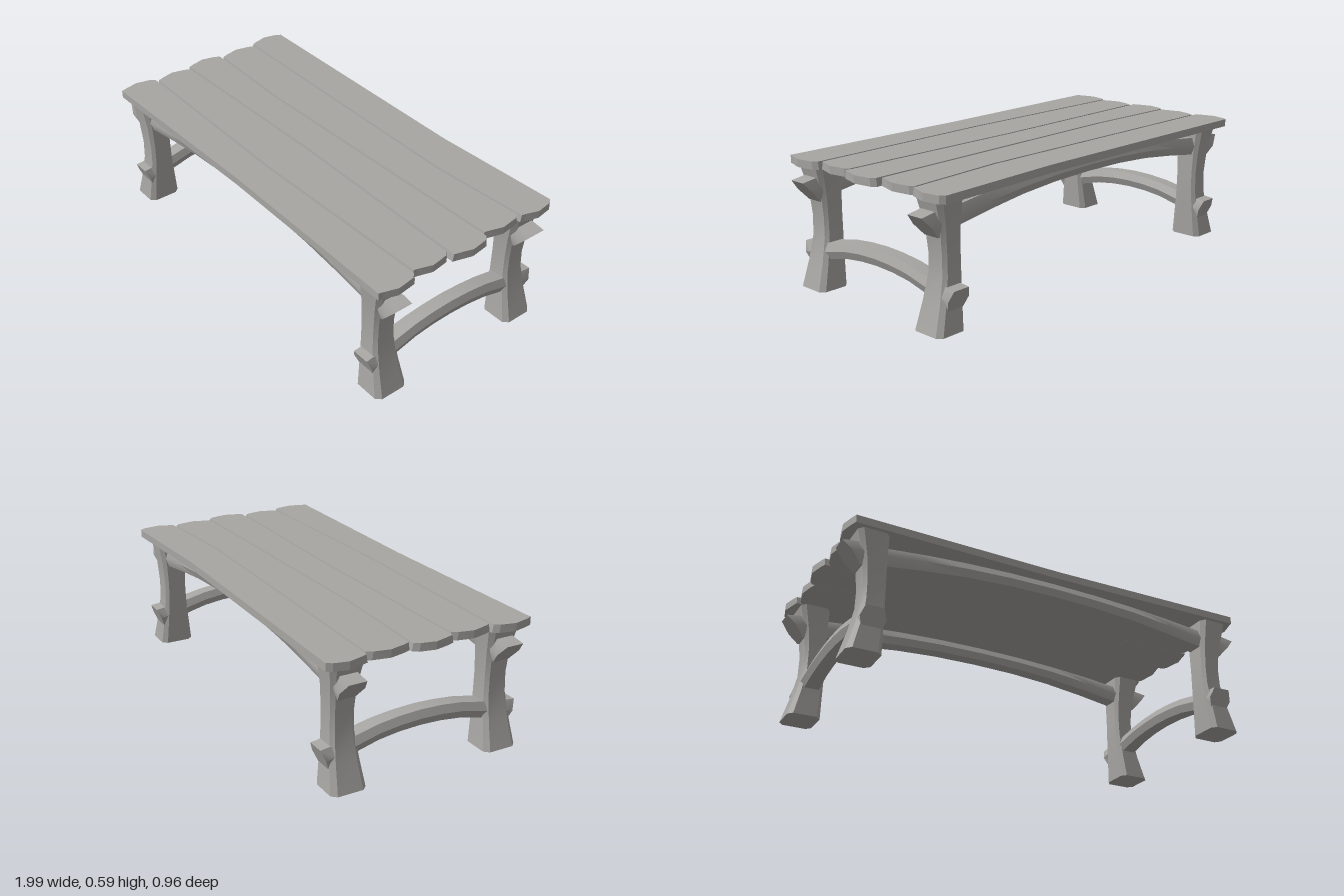
import * as THREE from 'three';
import { toCreasedNormals } from 'three/addons/utils/BufferGeometryUtils.js';

const wood = new THREE.MeshStandardMaterial({ color: 0xa8a6a3 });
wood.name = 'greyWood';

// Skin a series of equal-length rings and cap both ends
function loft(rings) {
  const n = rings[0].length, pos = rings.flat(2), index = [];
  for (let r = 0; r < rings.length - 1; r++) {
    for (let i = 0; i < n; i++) {
      const a = r * n + i, b = r * n + (i + 1) % n;
      index.push(a, b, b + n, a, b + n, a + n);
    }
  }
  const last = (rings.length - 1) * n;
  for (let i = 1; i < n - 1; i++) {
    index.push(0, i + 1, i, last, last + i, last + i + 1);
  }
  const g = new THREE.BufferGeometry();
  g.setAttribute('position', new THREE.Float32BufferAttribute(pos, 3));
  g.setIndex(index);
  return toCreasedNormals(g, 0.7);
}

function part(name, geometry) {
  const m = new THREE.Mesh(geometry, wood);
  m.name = name;
  return m;
}

// Waisted leg: [y, inner x, outer x, half depth], chamfered section
function legGeometry() {
  const c = 0.72;
  const section = [[-c, 1], [c, 1], [1, c], [1, -c], [c, -1], [-c, -1], [-1, -c], [-1, c]];
  const stations = [
    [0, 0.805, 0.955, 0.081], [0.12, 0.8, 0.92, 0.067], [0.23, 0.795, 0.896, 0.056],
    [0.32, 0.795, 0.894, 0.054], [0.43, 0.797, 0.905, 0.06], [0.555, 0.797, 0.937, 0.078],
  ];
  return loft(stations.map(([y, x0, x1, d]) =>
    section.map(([u, w]) => [(x0 + x1) / 2 + u * (x1 - x0) / 2, y, w * d])));
}

// Arched hexagonal rail along x: half stations [x, top, bottom, half width, end slant]
function railGeometry(half) {
  const section = [[1, 0.7], [0, 1], [-1, 0.7], [-1, -0.7], [0, -1], [1, -0.7]];
  const left = half.slice(1).reverse().map(([x, t, b, w, s]) => [-x, t, b, w, -s]);
  return loft([...left, ...half].map(([x, t, b, w, s]) =>
    section.map(([u, v]) => [x + u * s, (t + b) / 2 + u * (t - b) / 2, v * w])));
}

// Plank with an uneven outline; the sides facing a gap slope out to meet below
function plankGeometry(back, front, x0, x1, slopeBack, slopeFront) {
  const first = back[0][1], end = front[0][1], mid = (first + end) / 2;
  const outline = [
    [x0 + 0.03, first], ...back.slice(1, -1), [x1 - 0.03, back.at(-1)[1]],
    [x1 - 0.012, back.at(-1)[1] + 0.02], [x1, mid + 0.01], [x1 - 0.02, front.at(-1)[1] - 0.02],
    [x1 - 0.025, front.at(-1)[1]], ...front.slice(1, -1).reverse(), [x0 + 0.025, end],
    [x0 + 0.015, end - 0.03], [x0, mid], [x0 + 0.015, first + 0.025],
  ];
  const shape = new THREE.Shape(outline.map(([x, z]) => new THREE.Vector2(x, -z)));
  const g = new THREE.ExtrudeGeometry(shape, { depth: 0.035, bevelEnabled: false });
  g.rotateX(-Math.PI / 2).translate(0, 0.552, 0);
  const p = g.attributes.position;
  for (let i = 0; i < p.count; i++) {
    if (p.getY(i) > 0.56) continue;
    const z = p.getZ(i);
    if (z < mid - 0.06 && slopeBack) p.setZ(i, z - 0.006);
    if (z > mid + 0.06 && slopeFront) p.setZ(i, z + 0.006);
  }
  g.computeVertexNormals();
  return g;
}

export function createModel() {
  const model = new THREE.Group();
  model.name = 'plankTable';

  // Table top: five planks between six wavy lines [x, z]
  const lines = [
    [[-1, -0.483], [0.32, -0.46], [1, -0.483]],
    [[-1, -0.302], [0.47, -0.273], [1, -0.302]],
    [[-1, -0.1], [-0.46, -0.08], [1, -0.1]],
    [[-1, 0.092], [0, 0.08], [1, 0.096]],
    [[-1, 0.285], [0, 0.304], [1, 0.285]],
    [[-1, 0.476], [0, 0.461], [1, 0.476]],
  ];
  const ends = [[-0.985, 0.97], [-0.965, 0.955], [-0.985, 0.982], [-0.965, 0.955], [-0.985, 0.975]];
  const shift = (line, d) => line.map(([x, z]) => [x, z + d]);
  ends.forEach(([x0, x1], i) => {
    const back = shift(lines[i], i > 0 ? 0.006 : 0);
    const front = shift(lines[i + 1], i < 4 ? -0.006 : 0);
    model.add(part('plank' + (i + 1), plankGeometry(back, front, x0, x1, i > 0, i < 4)));
  });

  // Legs
  const leg = legGeometry();
  for (const [end, z] of [['front', 0.378], ['back', -0.365]]) {
    for (const side of [1, -1]) {
      const m = part(end + (side > 0 ? 'LeftLeg' : 'RightLeg'), leg);
      m.rotation.y = side > 0 ? 0 : Math.PI;
      m.position.z = z;
      model.add(m);
    }
  }

  // Long arched rails under the top
  const longRail = railGeometry([
    [0, 0.552, 0.488, 0.045, 0], [0.22, 0.549, 0.484, 0.045, 0], [0.42, 0.54, 0.471, 0.046, 0],
    [0.62, 0.525, 0.447, 0.047, 0], [0.82, 0.503, 0.418, 0.05, 0], [0.9, 0.505, 0.405, 0.056, 0.015],
    [0.952, 0.493, 0.395, 0.057, 0.042],
  ]);
  for (const [name, z] of [['frontRail', 0.378], ['backRail', -0.363]]) {
    const m = part(name, longRail);
    m.position.z = z;
    model.add(m);
  }

  // Short arched stretchers between front and back legs
  const stretcher = railGeometry([
    [0, 0.25, 0.18, 0.045, 0], [0.1, 0.246, 0.176, 0.045, 0], [0.2, 0.235, 0.164, 0.046, 0],
    [0.32, 0.21, 0.135, 0.049, 0], [0.42, 0.195, 0.11, 0.055, 0.01], [0.455, 0.19, 0.098, 0.057, 0.018],
  ]);
  for (const side of [1, -1]) {
    const m = part(side > 0 ? 'leftStretcher' : 'rightStretcher', stretcher);
    m.rotation.y = Math.PI / 2;
    m.position.set(side * 0.856, 0, 0.003);
    model.add(m);
  }
  return model;
}
